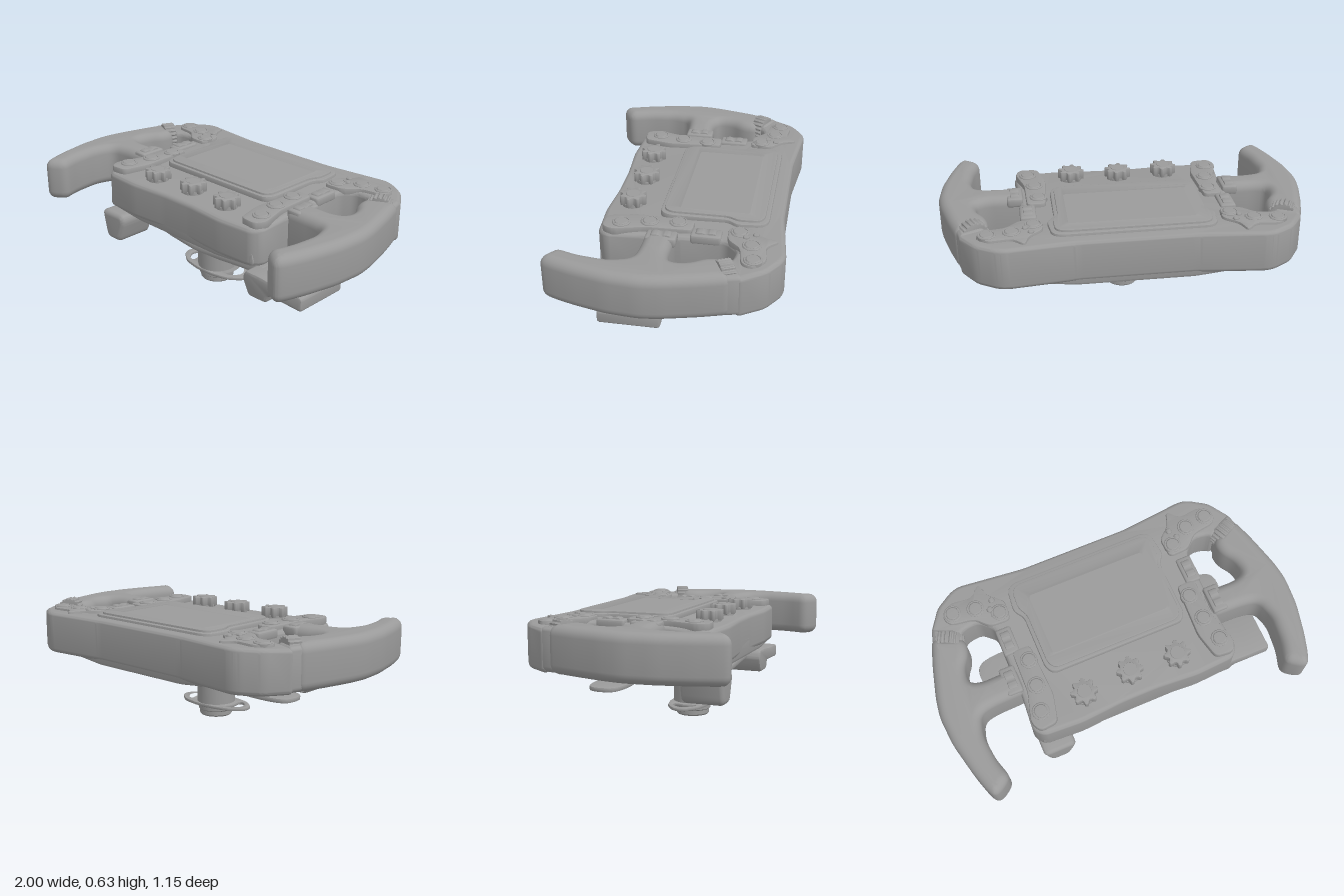
import * as THREE from 'three';
import { toCreasedNormals } from 'three/addons/utils/BufferGeometryUtils.js';
import { RoundedBoxGeometry } from 'three/addons/geometries/RoundedBoxGeometry.js';

const material = new THREE.MeshStandardMaterial({ color: 0x9a9a9a });

// Closed outline with every corner rounded by r
function outline(points, r, Type = THREE.Shape) {
  const shape = new Type();
  const v = points.map(([x, y]) => new THREE.Vector2(x, y));
  v.forEach((p, i) => {
    const prev = v[(i + v.length - 1) % v.length], next = v[(i + 1) % v.length];
    const toward = (q) => p.clone().lerp(q, Math.min(r / p.distanceTo(q), 0.49));
    const a = toward(prev), b = toward(next);
    if (i === 0) shape.moveTo(a.x, a.y); else shape.lineTo(a.x, a.y);
    if (r > 0) shape.quadraticCurveTo(p.x, p.y, b.x, b.y);
  });
  shape.closePath();
  return shape;
}

// Bevelled prism of an XY outline, from a to b along z
function prism(points, a, b, { r = 0.03, bevel = 0.01, holes = [] } = {}) {
  const shape = outline(points, r);
  shape.holes = holes.map((h) => outline(h, r, THREE.Path));
  const geo = new THREE.ExtrudeGeometry(shape, {
    depth: b - a - 2 * bevel, bevelEnabled: bevel > 0, bevelThickness: bevel,
    bevelSize: bevel, bevelOffset: -bevel, bevelSegments: bevel > 0.02 ? 6 : 2, curveSegments: 6,
  });
  return geo.translate(0, 0, a + bevel);
}

// The same for a plan outline in (x, z), from y0 to y1
function slab(points, y0, y1, options = {}) {
  const flip = (list) => list.map(([x, z]) => [x, -z]);
  const holes = (options.holes || []).map(flip);
  return prism(flip(points), y0, y1, { ...options, holes }).rotateX(-Math.PI / 2);
}

const side = (points, s) => points.map(([x, z]) => [x * s, z]);
const both = (half) => [...half, ...side(half, -1).reverse()];
const rect = (x0, z0, x1, z1) => [[x0, z0], [x1, z0], [x1, z1], [x0, z1]];

// Gear-like outline with n lobes
function lobes(n, outer, inner) {
  return Array.from({ length: n * 4 }, (_, i) => {
    const a = ((i + 0.5) / (n * 4)) * Math.PI * 2, r = i % 4 < 2 ? outer : inner;
    return [Math.cos(a) * r, Math.sin(a) * r];
  });
}

const lathe = (points, n = 40) =>
  new THREE.LatheGeometry(points.map(([x, y]) => new THREE.Vector2(x, y)), n);

export function createModel() {
  const group = new THREE.Group();
  const add = (name, geo, x = 0, y = 0, z = 0, crease = 0.6) => {
    const mesh = new THREE.Mesh(toCreasedNormals(geo, crease), material);
    mesh.name = name;
    mesh.position.set(x, y, z);
    group.add(mesh);
    return mesh;
  };

  // Main housing, its top tilting down towards the front
  const housing = slab(both([[0.3, -0.538], [0.66, -0.576], [0.71, -0.564], [0.81, -0.5], [0.895, -0.37],
    [0.75, -0.3], [0.72, -0.325], [0.64, -0.335], [0.57, -0.27], [0.57, -0.05], [0.57, 0.15], [0.585, 0.33],
    [0.54, 0.38], [0.33, 0.392], [0.1, 0.375]]), 0.36, 0.588, { bevel: 0.025 });
  const pos = housing.attributes.position;
  for (let i = 0; i < pos.count; i++) {
    if (pos.getY(i) > 0.5) pos.setY(i, pos.getY(i) - 0.025 * (pos.getZ(i) + 0.57));
  }
  add('housing', housing);

  // Underside, sloping up to both edges
  add('underside', prism(both([[0.3, 0.337], [0.56, 0.364], [0.55, 0.45]]), -0.535, 0.375, { bevel: 0.015 }));

  // Screen with its stepped surround
  add('screenSurround', slab(both([[0.385, -0.468], [0.425, -0.44], [0.44, -0.31], [0.4, -0.26],
    [0.4, 0.05], [0.37, 0.095]]), 0.55, 0.599, { bevel: 0.008, holes: [rect(-0.34, -0.37, 0.34, 0.005)] }));
  add('screenBezel', slab(both([[0.365, -0.445], [0.405, -0.42], [0.41, -0.31], [0.38, -0.26],
    [0.38, 0.04], [0.35, 0.078]]), 0.57, 0.61, { bevel: 0.004, holes: [rect(-0.345, -0.375, 0.345, 0.01)] }));
  add('screen', slab(rect(-0.36, -0.39, 0.36, 0.025), 0.55, 0.594, { bevel: 0 }));

  // Rotary knobs along the lower edge
  for (const [x, z] of [[-0.265, 0.26], [0, 0.245], [0.265, 0.26]]) {
    add('knobBase', new THREE.CylinderGeometry(0.058, 0.06, 0.03, 32), x, 0.568, z);
    add('knob', slab(lobes(8, 0.073, 0.054), 0.574, 0.627, { r: 0.006, bevel: 0.004 }), x, 0, z);
    add('knobCap', new THREE.CylinderGeometry(0.036, 0.038, 0.004, 24), x, 0.628, z);
  }

  for (const s of [1, -1]) {
    // Hand grip with the bar that joins it to the housing
    add('grip', slab(side([[0.735, -0.28], [0.9, -0.345], [0.945, -0.2], [0.99, -0.02], [1.003, 0.08], [0.99, 0.24],
      [0.95, 0.41], [0.915, 0.52], [0.89, 0.572], [0.85, 0.572], [0.775, 0.515], [0.812, 0.4], [0.83, 0.25],
      [0.8, 0.15], [0.72, 0.135], [0.54, 0.13], [0.54, -0.02], [0.74, -0.015], [0.8, -0.04], [0.795, -0.12],
      [0.74, -0.2]], s), 0.36, 0.602, { bevel: 0.05, r: 0.04 }));
    add('gripSeam', slab(side([[0.75, -0.34], [0.88, -0.4], [0.905, -0.3], [0.76, -0.24]], s), 0.365, 0.59,
      { bevel: 0.03 }));

    // Ribbed thumb roller showing only above the grip
    const roller = add('thumbRoller', prism(lobes(20, 0.079, 0.072), -0.034, 0.034, { r: 0, bevel: 0.004 }),
      s * 0.815, 0.546, -0.305);
    roller.rotation.y = s * 0.44;

    // Raised button panels
    add('upperButtonPanel', slab(side([[0.56, -0.54], [0.62, -0.475], [0.74, -0.49], [0.805, -0.43], [0.78, -0.37],
      [0.65, -0.35], [0.58, -0.28], [0.47, -0.275], [0.46, -0.39], [0.535, -0.455]], s), 0.55, 0.599, { bevel: 0.008 }));
    add('lowerButtonPanel', slab(side([[0.43, -0.1], [0.53, -0.1], [0.535, 0.14], [0.58, 0.3], [0.55, 0.36],
      [0.45, 0.35], [0.415, 0.2]], s), 0.54, 0.598, { bevel: 0.008 }));

    // Push buttons, each in a collar
    for (const [x, z] of [[0.745, -0.425], [0.622, -0.405], [0.51, -0.335], [0.465, -0.02], [0.48, 0.125],
      [0.51, 0.265]]) {
      add('buttonCollar', lathe([[0.047, -0.02], [0.047, 0.003], [0.043, 0.007], [0.037, 0.007], [0.037, 0]], 28),
        s * x, 0.598, z);
      add('button', lathe([[0.035, -0.01], [0.035, 0.006], [0.031, 0.01], [0, 0.011]], 28), s * x, 0.598, z);
    }
    for (const [x, z] of [[0.525, -0.417], [0.552, -0.37]]) {
      add('smallButton', new THREE.SphereGeometry(0.018, 16, 10), s * x, 0.594, z, 2);
    }

    // Rocker switches on the inner sides
    for (const [x, z, top] of [[0.53, -0.17, 0.59], [0.592, 0.045, 0.596]]) {
      add('switchFrame', new RoundedBoxGeometry(0.085, 0.05, 0.155, 2, 0.012), s * x, top - 0.022, z);
      add('switchRocker', prism([[-0.06, -0.02], [0.06, -0.02], [0.05, 0.01], [0.02, 0.014], [0, 0.004],
        [-0.02, 0.014], [-0.05, 0.01]], -0.024, 0.024, { r: 0.01, bevel: 0.004 }).rotateY(Math.PI / 2), s * x, top, z);
    }
  }

  // Flat shift paddle running across the back, wider towards its rounded tips
  add('shiftPaddle', slab(both([[0.12, -0.235], [0.3, -0.23], [0.48, -0.24], [0.6, -0.245], [0.7, -0.23],
    [0.735, -0.19], [0.735, -0.11], [0.7, -0.07], [0.6, -0.055], [0.48, -0.065], [0.3, -0.11], [0.12, -0.135]]),
    0.253, 0.276, { bevel: 0.005, r: 0.05 }));
  add('shiftPivot', new RoundedBoxGeometry(0.12, 0.085, 0.13, 2, 0.01), 0, 0.306, -0.195);
  add('pivotPin', new THREE.CylinderGeometry(0.016, 0.016, 0.17, 16).rotateX(Math.PI / 2), 0, 0.298, -0.21);

  // Steering hub, hollow at the foot, with its flared mount
  add('hubMount', lathe([[0.1, 0.22], [0.105, 0.25], [0.118, 0.285], [0.145, 0.315], [0.185, 0.345]])
    .scale(1.5, 1, 1), 0, 0, 0.07);
  add('hub', lathe([[0, 0.06], [0.055, 0.06], [0.055, 0.006], [0.06, 0], [0.085, 0], [0.092, 0.008], [0.092, 0.03],
    [0.1, 0.036], [0.1, 0.055], [0.108, 0.06], [0.108, 0.3]]), 0, 0, 0.07);
  add('hubCollar', new THREE.CylinderGeometry(0.12, 0.12, 0.03, 40), 0, 0.235, 0.07);
  add('hubLatch', new RoundedBoxGeometry(0.12, 0.07, 0.07, 2, 0.008), 0, 0.217, -0.02);

  // Quick-release ring with two finger loops
  const loop = [[0.12, -0.07], [0.165, -0.06], [0.205, 0], [0.165, 0.06], [0.12, 0.07], [0.14, 0]];
  add('releaseRing', slab(both([[0.06, -0.112], [0.16, -0.09], [0.235, -0.03], [0.235, 0.03], [0.16, 0.09],
    [0.06, 0.112]]), 0.06, 0.077, { bevel: 0.004, holes: [loop, side(loop, -1)] }), 0, 0, 0.07);

  // Bowed arm carrying the two lower paddles
  add('clutchArm', prism([[-0.44, 0.34], [-0.36, 0.318], [-0.2, 0.276], [0, 0.255], [0.2, 0.262], [0.38, 0.285],
    [0.52, 0.3], [0.52, 0.25], [0.36, 0.243], [0.2, 0.228], [0, 0.22], [-0.2, 0.243], [-0.36, 0.285],
    [-0.44, 0.3]], 0.07, 0.25, { bevel: 0.008 }));

  // Left paddle: broad stepped finger plate; right paddle: tapered finger block
  add('leftPaddle', prism([[0.44, 0.25], [0.46, 0.295], [0.56, 0.295], [0.7, 0.28], [0.836, 0.278], [0.836, 0.2],
    [0.62, 0.21], [0.605, 0.16], [0.485, 0.16]], 0.01, 0.33, { bevel: 0.015, r: 0.02 }));
  add('rightPaddle', prism([[-0.575, 0.335], [-0.55, 0.35], [-0.4, 0.35], [-0.385, 0.31], [-0.425, 0.19],
    [-0.45, 0.18], [-0.52, 0.18], [-0.545, 0.2]], 0.2, 0.43, { bevel: 0.028, r: 0.03 }));

  return group;
}
